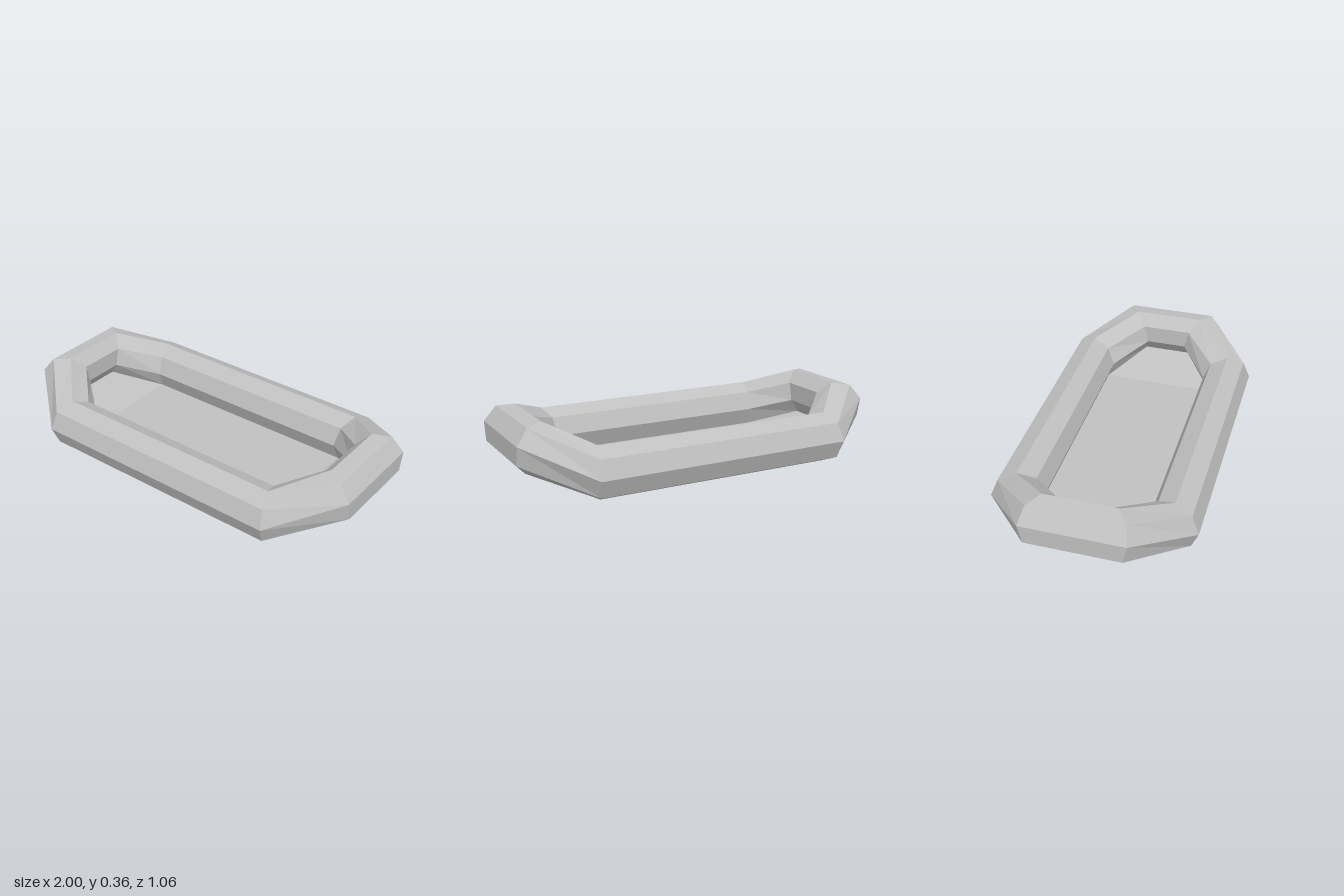
import * as THREE from 'three';

const SIDES = 8;

// Mitred octagon rings at the two kinds of corner (+x, +z quadrant):
// centre, outward axis and upward axis of the section
const endCorner = { c: [0.8975, 0.238, 0.1875], out: [0.1025, 0.035, 0.076], up: [-0.0425, 0.126, 0] };
const sideCorner = { c: [0.645, 0.134, 0.4], out: [0.045, 0, 0.128], up: [0, 0.134, 0] };

// Point j of a corner's ring, mirrored into the quadrant given by sx, sz
function ringPoint({ c, out, up }, sx, sz, j) {
  const a = (j / SIDES) * Math.PI * 2;
  const [x, y, z] = c.map((v, k) => v + Math.cos(a) * out[k] + Math.sin(a) * up[k]);
  return [x * sx, y, z * sz];
}

// Flat-shaded geometry from quads a-b-c-d, counter-clockwise from the front
function quadGeometry(quads) {
  const points = quads.flatMap(([a, b, c, d]) => [a, b, c, a, c, d]).flat();
  const geometry = new THREE.BufferGeometry();
  geometry.setAttribute('position', new THREE.Float32BufferAttribute(points, 3));
  geometry.computeVertexNormals();
  return geometry;
}

export function createModel() {
  const grey = new THREE.MeshStandardMaterial({ color: 0xc0c0c0, flatShading: true, side: THREE.DoubleSide });
  grey.name = 'grey';
  const model = new THREE.Group();
  model.name = 'raft';

  // Inflated tube, swept round the eight corners with raised ends
  const corners = [
    [endCorner, 1, 1], [sideCorner, 1, 1], [sideCorner, -1, 1], [endCorner, -1, 1],
    [endCorner, -1, -1], [sideCorner, -1, -1], [sideCorner, 1, -1], [endCorner, 1, -1],
  ];
  const tubeQuads = [];
  corners.forEach((corner, i) => {
    const next = corners[(i + 1) % corners.length];
    for (let j = 0; j < SIDES; j++) {
      tubeQuads.push([
        ringPoint(...corner, j), ringPoint(...corner, j + 1),
        ringPoint(...next, j + 1), ringPoint(...next, j),
      ]);
    }
  });
  const tube = new THREE.Mesh(quadGeometry(tubeQuads), grey);
  tube.name = 'tube';

  // Floor sheet along the tube's lower inner edge, bent up at both ends
  const stations = [[endCorner, -1], [sideCorner, -1], [sideCorner, 1], [endCorner, 1]];
  const floorQuads = [];
  for (let i = 0; i < stations.length - 1; i++) {
    const [c0, s0] = stations[i];
    const [c1, s1] = stations[i + 1];
    floorQuads.push([
      ringPoint(c0, s0, 1, 5), ringPoint(c1, s1, 1, 5),
      ringPoint(c1, s1, -1, 5), ringPoint(c0, s0, -1, 5),
    ]);
  }
  const floor = new THREE.Mesh(quadGeometry(floorQuads), grey);
  floor.name = 'floor';

  model.add(tube, floor);
  return model;
}
